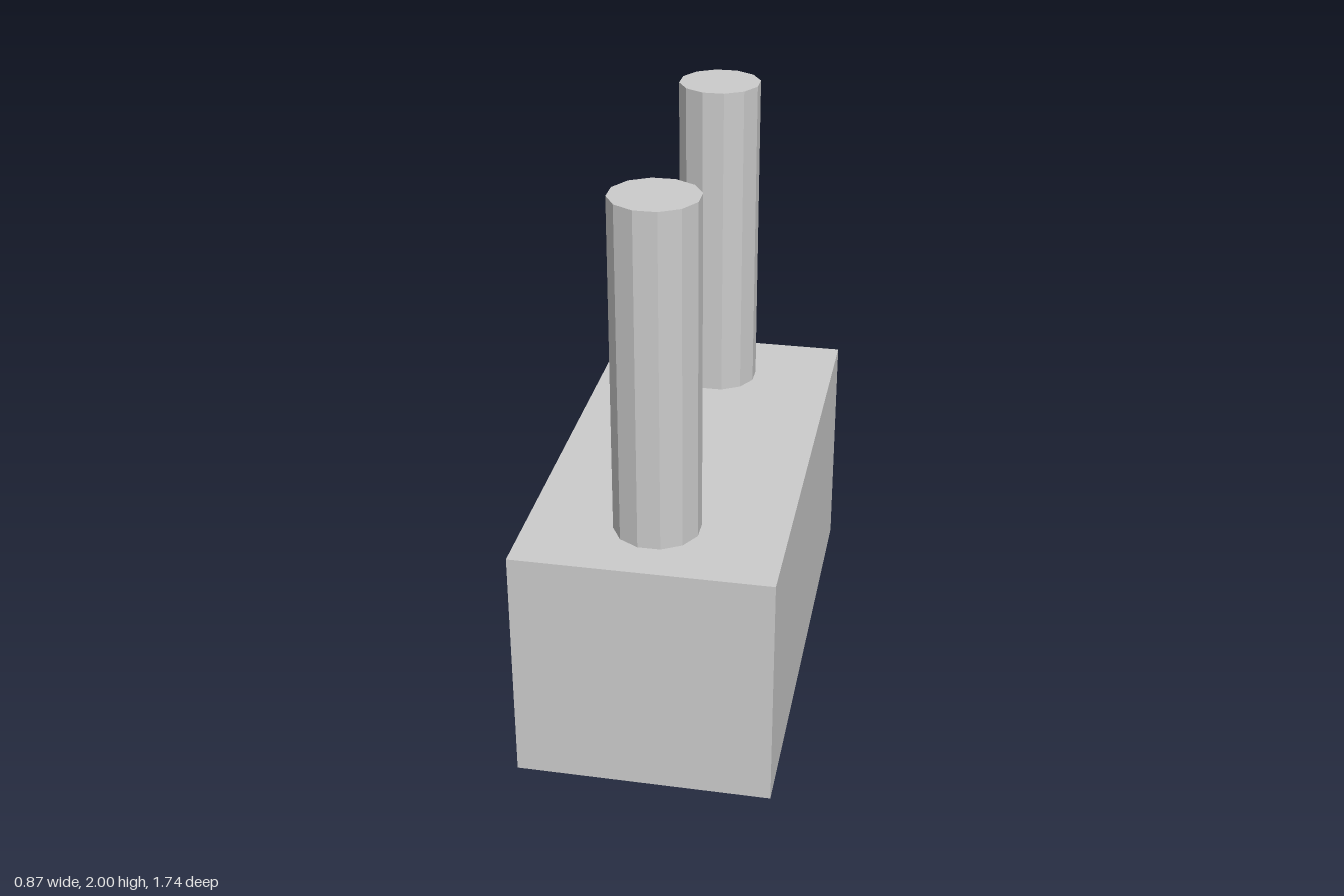
import * as THREE from 'three';

export function createModel() {
  const model = new THREE.Group();
  const material = new THREE.MeshStandardMaterial({ color: 0xcccccc, flatShading: true });
  const base = { width: 0.872, height: 0.839, depth: 1.744 };

  // Solid block standing on the floor
  const block = new THREE.Mesh(new THREE.BoxGeometry(base.width, base.height, base.depth), material);
  block.name = 'baseBlock';
  block.position.y = base.height / 2;
  model.add(block);

  // Two twelve-sided pins, turned half a side so flats face the axes
  const sides = 12;
  const pinHeight = 2 - base.height;
  const pinGeometry = new THREE.CylinderGeometry(0.147, 0.147, pinHeight, sides, 1, false, Math.PI / sides);
  for (const [name, z] of [['frontPin', 0.581], ['backPin', -0.581]]) {
    const pin = new THREE.Mesh(pinGeometry, material);
    pin.name = name;
    pin.position.set(0, base.height + pinHeight / 2, z);
    model.add(pin);
  }

  return model;
}
